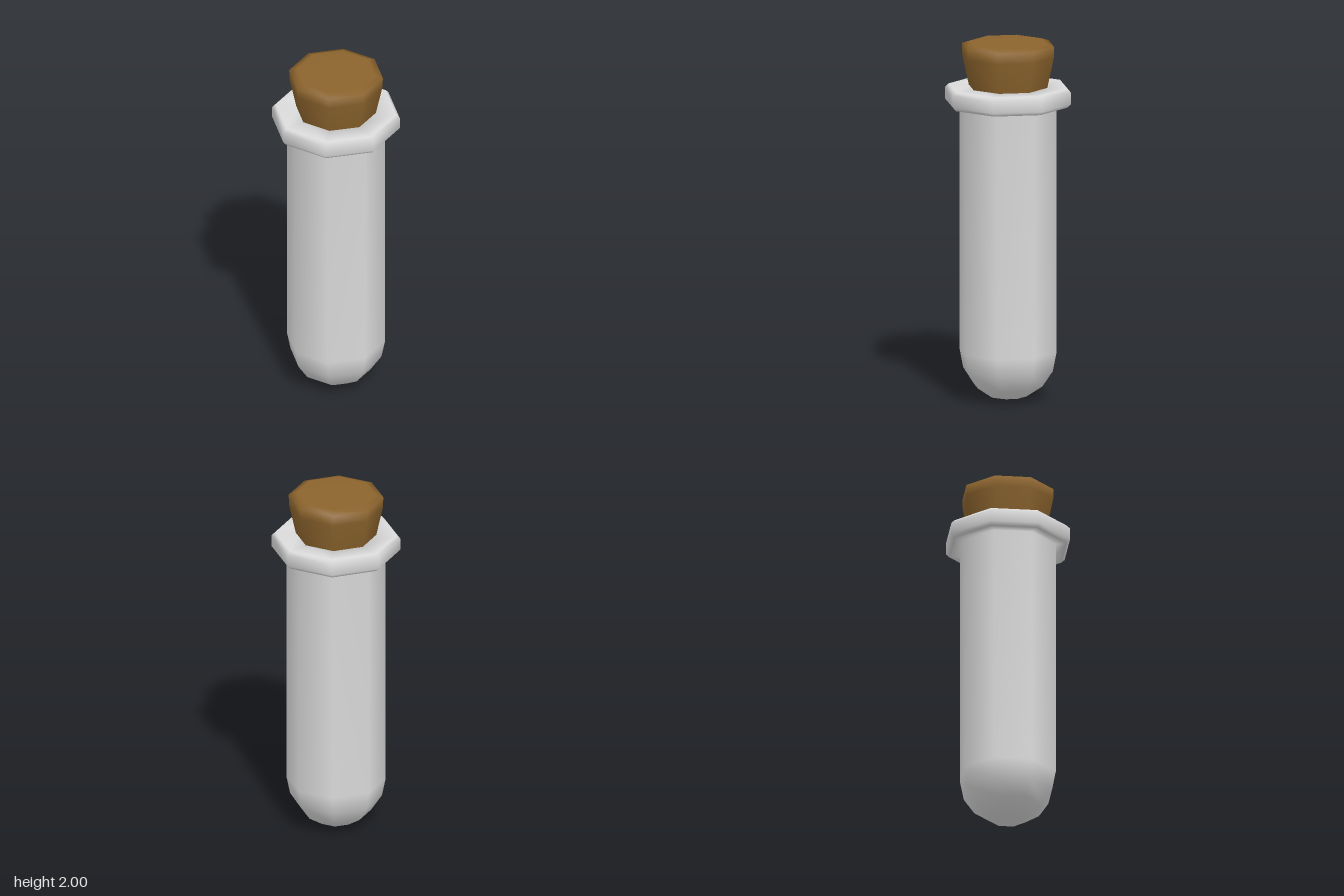
import * as THREE from 'three';

const SIDES = 8;

// Smooth eight-sided turned part from [radius, height] pairs, bottom to top
function turned(name, profile, material) {
  const points = profile.map(([r, y]) => new THREE.Vector2(r, y));
  const mesh = new THREE.Mesh(new THREE.LatheGeometry(points, SIDES), material);
  mesh.name = name;
  return mesh;
}

export function createModel() {
  const glass = new THREE.MeshStandardMaterial({ color: 0xdcdcdc });
  glass.name = 'paleGlass';
  const cork = new THREE.MeshStandardMaterial({ color: 0x8c642d });
  cork.name = 'corkBrown';

  const group = new THREE.Group();
  group.name = 'corkedTestTube';

  // Round bottom, four steps up to the straight wall
  const R = 0.273;
  const tube = [];
  for (let i = 0; i <= 4; i++) {
    const a = (i / 4) * Math.PI / 2;
    tube.push([R * Math.sin(a), 0.005 + R * (1 - Math.cos(a))]);
  }
  // Wall, bevelled lip and the mouth that grips the stopper
  tube.push(
    [R, 1.65],
    [0.335, 1.65], [0.354, 1.67], [0.354, 1.735], [0.335, 1.755],
    [0.205, 1.755], [0.2, 1.66],
  );
  group.add(turned('tubeAndLip', tube, glass));

  // Tapered stopper with a softened top rim
  group.add(turned('corkStopper', [
    [0, 1.67], [0.2, 1.67], [0.22, 1.75], [0.258, 1.925],
    [0.26, 1.985], [0.215, 2.0], [0, 2.0],
  ], cork));

  return group;
}
